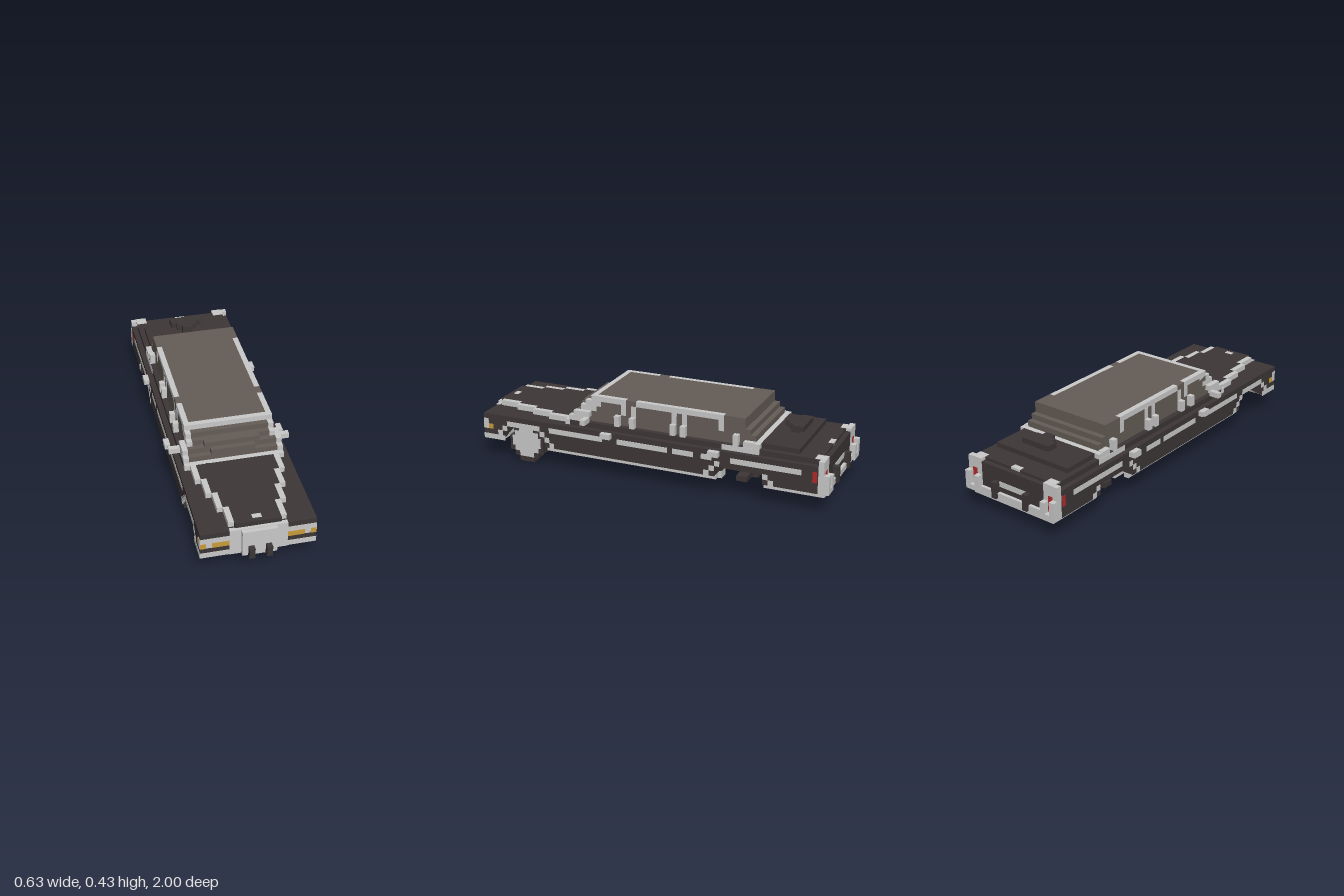
import * as THREE from 'three';

export function createModel() {
  const mat = (name, color) => { const m = new THREE.MeshStandardMaterial({ color }); m.name = name; return m; };
  const dark = mat('blackPaint', 0x3d3636), chrome = mat('chrome', 0xc9c9c9), glass = mat('brownGlass', 0x655d57);
  const steel = mat('chassisGrey', 0x9c9c9c), amber = mat('amber', 0xcb9c3a), red = mat('red', 0xb42a2a);

  // Block coordinates: 35 blocks = 1 unit
  const car = new THREE.Group();
  car.name = 'limousine';
  const box = (name, m, x0, x1, y0, y1, z0, z1) => {
    const mesh = new THREE.Mesh(new THREE.BoxGeometry(x1 - x0, y1 - y0, z1 - z0), m);
    mesh.position.set((x0 + x1) / 2, (y0 + y1) / 2, (z0 + z1) / 2);
    mesh.name = name;
    car.add(mesh);
  };
  const pair = (name, m, x0, x1, ...r) => { box(name, m, x0, x1, ...r); box(name, m, -x1, -x0, ...r); };
  const mid = (name, m, x, ...r) => box(name, m, -x, x, ...r);
  const S = 10.06; // outer face of the thin side trim

  // Lower body, with openings at the wheel arches
  mid('bodyCore', dark, 6, 4, 9, -33, 33);
  for (const [a, b] of [[29, 33], [-14, 20], [-33, -23]]) pair('bodySide', dark, 6, 10, 4, 9, a, b);
  pair('frontArchTop', dark, 6, 10, 7, 9, 20, 29);
  pair('rearArchTop', dark, 6, 10, 6, 9, -23, -14);
  mid('beltLine', dark, 9, 9, 10, -22, 15);

  // Bonnet: centre panel widening toward the windscreen, edged in chrome
  const steps = [[15.9, 20, 8], [20, 24, 7], [24, 28, 6], [28, 32, 5]];
  for (const [a, b, x] of steps) {
    mid('bonnet', dark, x - 1, 9, 10, a, b);
    pair('bonnetTrim', chrome, x - 1, x, 9, 10, a, b);
  }
  mid('bonnetNose', dark, 4, 9, 10, 32, 32.6);
  mid('bonnetOrnament', chrome, 0.8, 9.9, 10.04, 30.8, 31.8);

  // Cowl and stepped windscreen with chrome pillars
  mid('cowl', chrome, 9, 9, 10, 15, 16);
  for (let i = 0; i < 4; i++) {
    const y = 10 + i, w = i < 2 ? 8 : 7, z = 15 - i;
    mid('windscreen', glass, w, y, y + 1, 8, z);
    pair('screenPillar', chrome, w, w + 1, y, y + 1, z - 3, z + 0.2);
  }
  mid('screenBulge', glass, 4, 11, 12, 14, 15);
  mid('screenBulge', glass, 5, 12, 13, 13, 14);

  // Cabin glass, rear window steps and pillars
  mid('cabinGlass', glass, 8, 10, 14, -19, 11);
  mid('rearWindowLow', glass, 8, 10, 12, -21, -19);
  mid('rearWindowHigh', glass, 8, 12, 13, -20, -19);
  mid('rearWindowTrim', chrome, 9, 10, 10.9, -22, -21);
  pair('rearCornerTrim', chrome, 8, 9, 10, 11, -21, -19);
  for (const z of [5, 2, -6, -8, -18]) pair('doorPillarLow', chrome, 8, 9, 10, 12, z, z + 1);
  for (const z of [4, 2, -6, -8, -15]) pair('doorPillarHigh', chrome, 8, 8.06, 12, 14, z, z + 1);

  // Roof
  mid('roof', glass, 7, 14, 15, -19, 10);
  pair('roofEdgeRear', glass, 7, 8, 14, 15, -19, -15);
  pair('roofPillarBand', glass, 7, 8, 14, 15, 2, 4);
  pair('roofRail', chrome, 7, 8, 14, 15, -15, 2);
  pair('roofRail', chrome, 7, 8, 14, 15, 4, 10);
  mid('roofFront', chrome, 8, 14, 15, 10, 11);

  // Boot lid and aerial
  mid('rearDeck', dark, 9, 9, 10, -33, -22);
  mid('bootLid', dark, 8, 10, 10.9, -29, -22);
  mid('aerialStem', dark, 0.8, 10.9, 12, -26.5, -25);
  mid('aerialWing', dark, 3, 12, 13, -28, -26);
  mid('aerialWingStep', dark, 2, 12, 13, -26, -25);
  mid('aerialTip', dark, 1, 12, 13, -25, -24);

  // Radiator grille, lamps and front bumper
  mid('grilleSurround', chrome, 5, 4, 9, 33, 33.2);
  mid('grille', chrome, 3, 4, 9, 33, 34);
  mid('grilleTop', chrome, 5, 8.6, 9.1, 32.4, 33.2);
  mid('frontBumper', chrome, 10, 4, 5, 29, 33.1);
  pair('bumperSide', chrome, 10, S, 4, 5, 28.5, 33);
  pair('overrider', dark, 1, 2, 4, 6, 34, 35);
  pair('lampPanel', chrome, 5, 10, 6, 8, 33, 33.06);
  pair('innerLamp', amber, 5, 8, 6, 7, 33.06, 33.12);
  pair('outerLamp', amber, 9, 10, 6, 7, 33.06, 33.12);
  pair('sideLamp', amber, 10, S, 6, 7, 31, 32);
  pair('lampSideTrim', chrome, 10, S, 6, 8, 32, 33);

  // Side chrome: waist strips, arch trims, handles, mirrors
  for (const [a, b] of [[8, 19], [-5, 5], [-10, -6], [-13.5, -11.5], [-30, -17]]) pair('waistStrip', chrome, 10, S, 7, 8, a, b);
  pair('frontArchTrim', chrome, 10, S, 7, 8, 21, 28);
  for (const [y, a, b] of [[6, 28, 29], [5, 29, 30], [6, 20, 21], [5, 19, 20], [4, 18, 19]]) pair('frontArchStep', chrome, 10, S, y, y + 1, a, b);
  for (const [y, a, b] of [[6, -15, -14], [5, -14, -13], [4, -13, -12], [5, -24, -23], [4, -25, -24]]) pair('rearArchStep', chrome, 10, S, y, y + 1, a, b);
  pair('rearWaist', chrome, 9, 9.06, 9, 10, -22, -15);
  for (const z of [6, -15]) pair('doorHandle', chrome, 10, 11, 8, 9, z, z + 2);
  pair('mirror', chrome, 9, 11, 10, 11, 11, 12);

  // Rear fins with twin bars, tail lamps recessed between them, bumper
  pair('rearFin', chrome, 8, 10, 4, 10, -34, -33);
  pair('finInner', chrome, 7, 9, 4, 10.06, -34, -32);
  pair('finBarOuter', chrome, 9, 10, 4, 7.5, -35, -34);
  pair('finBarInner', chrome, 7, 8, 4, 7, -35, -34);
  pair('finBase', chrome, 8, 9, 4, 5, -35, -34);
  pair('tailLampSide', red, 10, S, 6, 8, -32.8, -32);
  pair('tailLampRear', red, 8, 9, 5, 8, -34.06, -34);
  mid('tailPanel', dark, 8, 5, 9.5, -33.9, -33);
  mid('plateSurround', chrome, 3, 6, 7, -34, -33.9);
  mid('bootBadge', chrome, 1, 9.6, 10.06, -33, -32);
  mid('rearBumper', chrome, 8, 4, 5, -34.5, -33);
  pair('rearOverrider', dark, 3, 4, 4, 7, -35, -33.9);

  // Underside: sills, floor, rails, exhaust, axle and tank
  pair('sill', chrome, 8, 9, 3, 4, -14, 20);
  mid('floor', dark, 6, 3.4, 4, -14, 19);
  mid('frontMember', dark, 8, 3, 4, 18.5, 20);
  mid('gearbox', steel, 3, 3, 4, 20, 22);
  pair('chassisRail', steel, 4, 6, 2, 3.4, -9, 16.5);
  pair('railEnd', chrome, 4, 6, 2, 3.4, -14, -9);
  mid('crossMember', dark, 6, 2, 3.4, 16.5, 17);
  for (const z of [-6, 5]) box('exhaustBox', steel, -4, -2, 2.4, 3.4, z, z + 6);
  mid('rearAxle', dark, 8, 3, 4, -19.5, -17.5);
  mid('differential', dark, 1, 1, 4, -19, -18);
  mid('axleCarrier', dark, 3, 2, 3, -20, -17);
  pair('rearSill', chrome, 7, 9, 3, 4, -34, -23);
  mid('rearCrossTrim', chrome, 7, 3, 4, -34, -32);
  pair('tankFrame', steel, 4, 6, 2, 4, -31, -23);
  mid('tank', steel, 2.5, 3, 4, -30, -24);

  // Single front wheel made of stepped rows, on the left side
  const rows = [1.5, 2.5, 3.5, 3.5, 3.5, 2.5, 1.5];
  const hubRows = [0, 1.5, 2.5, 3, 3, 2.5, 1.5];
  rows.forEach((h, y) => {
    box('tyre', dark, 7, 8.94, y, y + 1, 24.5 - h, 24.5 + h);
    const c = hubRows[y];
    if (c) box('hubcap', chrome, 8.94, 9, y, y + 1, 24.5 - c, 24.5 + c);
  });

  car.scale.setScalar(1 / 35);
  const group = new THREE.Group();
  group.add(car);
  return group;
}
